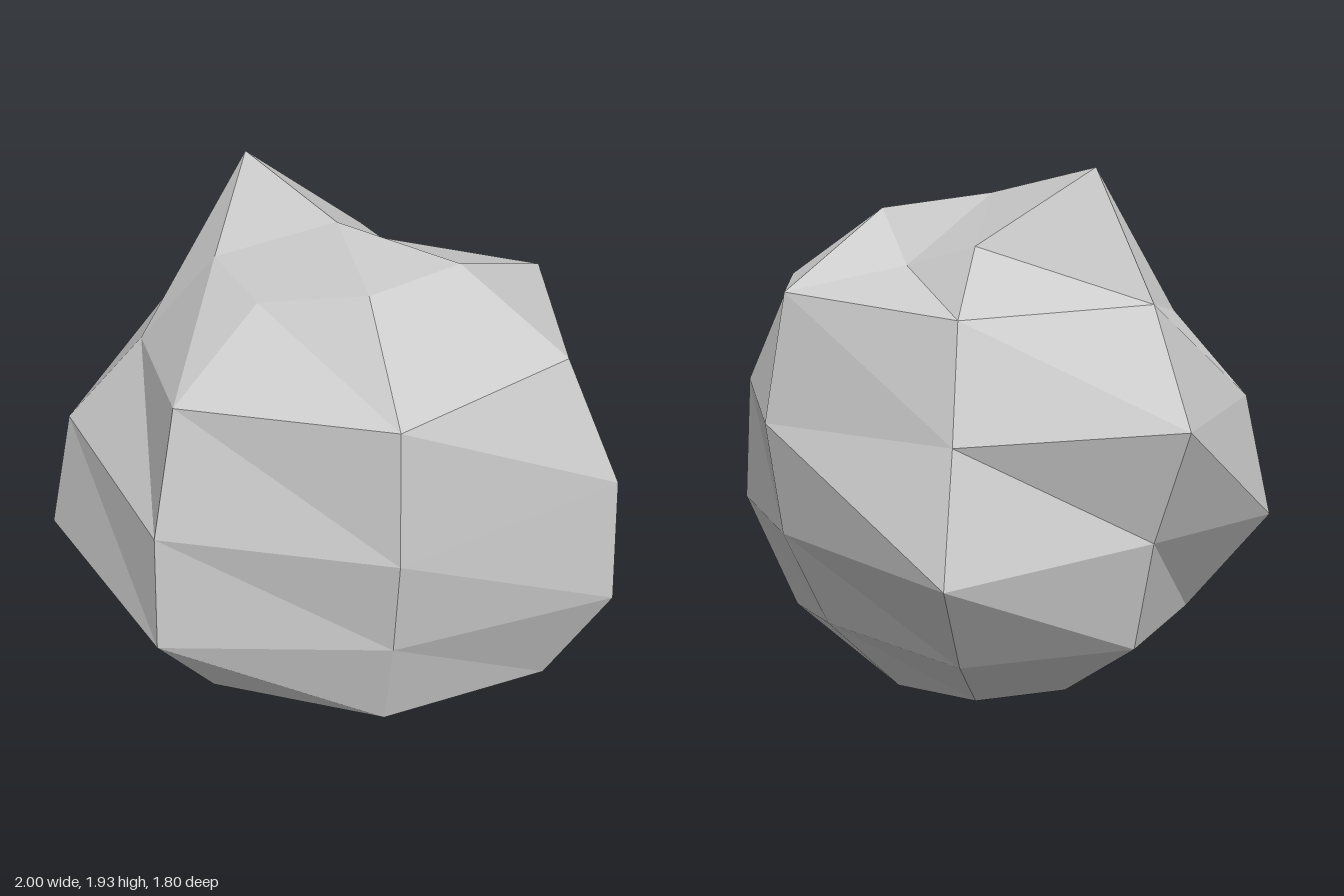
import * as THREE from 'three';

// Distance of each point from the core: one row per ring from top to bottom,
// columns run from the back round by the right (-x), front and left (+x)
const SIDES = 7;
const RADII = [
  [0.935, 0.935, 0.935, 0.935, 0.935, 0.935, 0.935],
  [0.853, 1.133, 0.905, 0.895, 0.985, 0.975, 0.77],
  [0.9, 0.957, 0.833, 0.988, 1.036, 1.016, 0.998],
  [0.83, 0.935, 0.947, 0.915, 0.865, 1.02, 0.882],
  [0.995, 0.79, 1.052, 0.944, 0.808, 1.052, 0.828],
  [0.89, 0.888, 0.925, 0.868, 0.89, 1.04, 0.835],
  [0.873, 0.87, 0.77, 0.68, 0.873, 0.913, 0.886],
  [0.905, 0.905, 0.905, 0.905, 0.905, 0.905, 0.905],
];

// Seven-sided ball whose points are pushed in or out along their own direction
function rockGeometry() {
  const geo = new THREE.SphereGeometry(1, SIDES, RADII.length - 1, -Math.PI / 2);
  const pos = geo.attributes.position;
  const p = new THREE.Vector3();
  for (let i = 0; i < pos.count; i++) {
    const ring = Math.floor(i / (SIDES + 1));
    const side = (i % (SIDES + 1)) % SIDES; // the seam repeats the first column
    p.fromBufferAttribute(pos, i).multiplyScalar(RADII[ring][side]);
    pos.setXYZ(i, p.x, p.y, p.z);
  }
  const faceted = geo.toNonIndexed();
  faceted.computeVertexNormals();
  return faceted;
}

export function createModel() {
  const group = new THREE.Group();
  group.name = 'boulder';
  const rock = new THREE.Mesh(
    rockGeometry(),
    new THREE.MeshStandardMaterial({ color: 0xcccccc, flatShading: true }),
  );
  rock.name = 'rock';
  rock.position.set(0, 0.905, 0.07);
  group.add(rock);
  return group;
}
